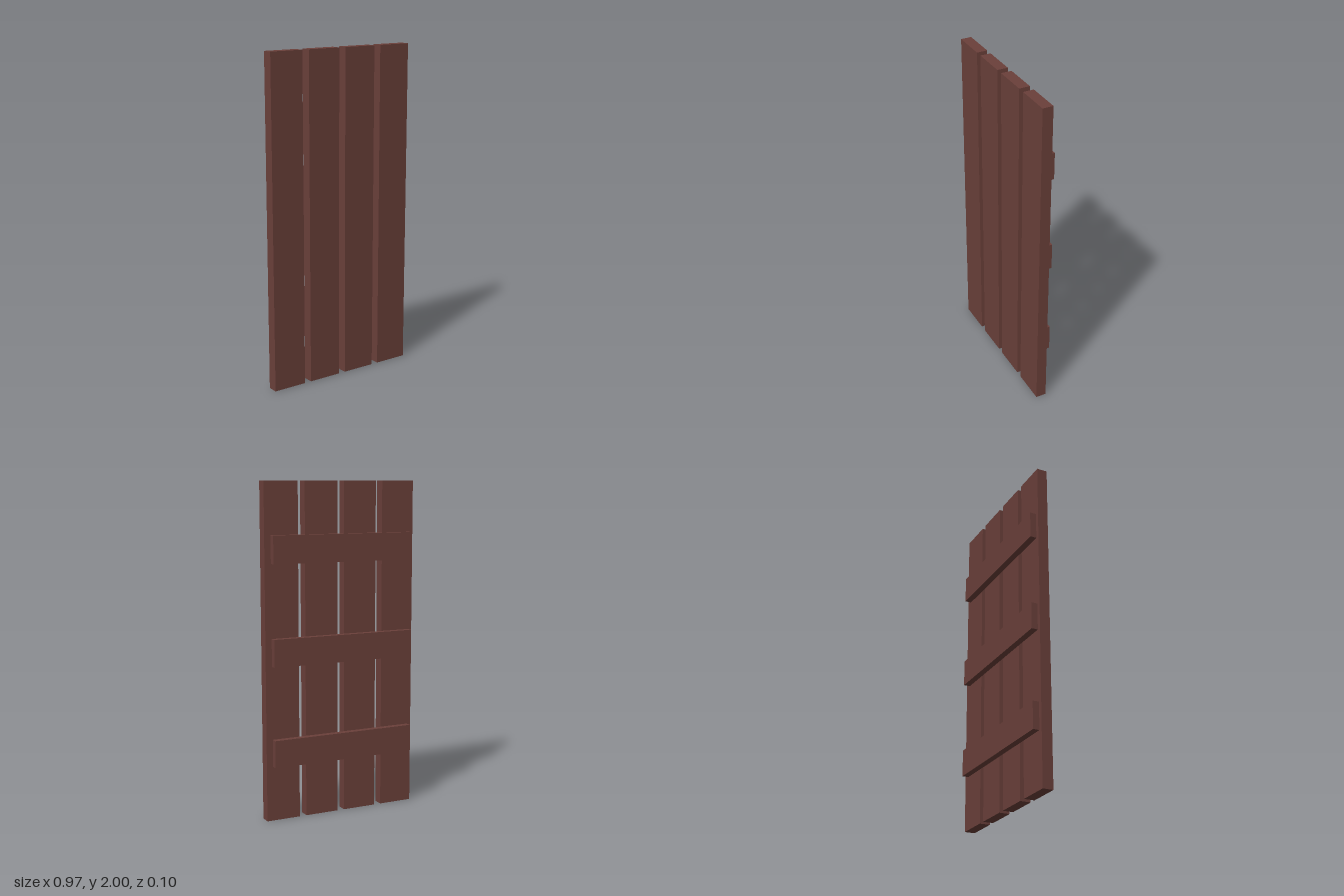
import * as THREE from 'three';

export function createModel() {
  const group = new THREE.Group();
  const wood = new THREE.MeshStandardMaterial({ color: 0x6b403a });
  wood.name = 'dark red-brown wood';

  const addBoard = (name, w, h, d, x, y, z) => {
    const board = new THREE.Mesh(new THREE.BoxGeometry(w, h, d), wood);
    board.name = name;
    board.position.set(x, y, z);
    group.add(board);
  };

  // Four upright planks with narrow gaps
  for (let i = 0; i < 4; i++) {
    addBoard(`plank${i + 1}`, 0.211, 2, 0.064, (i - 1.5) * 0.2545 - 0.001, 1, 0.019);
  }

  // Three cross battens on the back, set slightly off centre
  [0.413, 1.013, 1.611].forEach((y, i) => {
    addBoard(`batten${i + 1}`, 0.91, 0.164, 0.039, -0.008, y, -0.0325);
  });

  return group;
}
